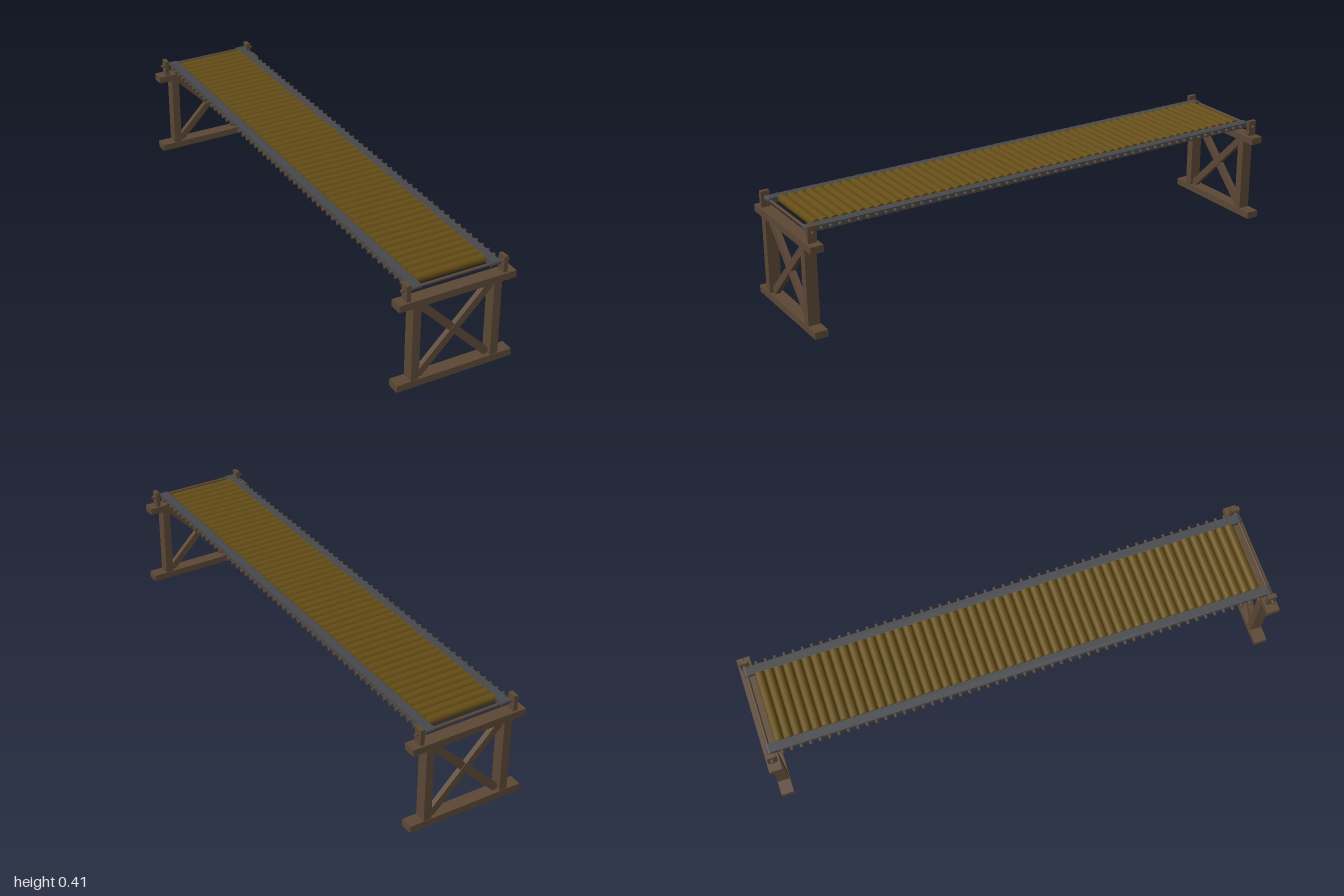
import * as THREE from 'three';

const wood = new THREE.MeshStandardMaterial({ color: 0x5b4735 });
const log = new THREE.MeshStandardMaterial({ color: 0x644c14 });
const belt = new THREE.MeshStandardMaterial({ color: 0x46484b });

function add(parent, name, geometry, material, x, y, z) {
  const mesh = new THREE.Mesh(geometry, material);
  mesh.name = name;
  mesh.position.set(x, y, z);
  parent.add(mesh);
  return mesh;
}

const box = (w, h, d) => new THREE.BoxGeometry(w, h, d);

// Cylinder lying along x
const rod = (r, length, sides) => new THREE.CylinderGeometry(r, r, length, sides).rotateZ(Math.PI / 2);

const DECK_Y = 0.387;
const END_Z = 0.975;

// End frame: sill, cap, legs, crossed braces, posts and the end axle
function createTrestle(name, z) {
  const g = new THREE.Group();
  g.name = name;
  g.position.z = z;
  add(g, 'sill', box(0.46, 0.027, 0.05), wood, 0, 0.0135, 0);
  add(g, 'cap', box(0.46, 0.027, 0.05), wood, 0, 0.335, 0);
  for (const s of [1, -1]) {
    add(g, 'leg', box(0.031, 0.296, 0.046), wood, s * 0.159, 0.174, 0);
    add(g, 'post', box(0.016, 0.064, 0.034), wood, s * 0.19, 0.378, 0);
    const brace = add(g, 'brace', box(0.4, 0.028, 0.02), wood, 0, 0.175, s * 0.001);
    brace.rotation.z = s * Math.atan2(0.29, 0.285);
  }
  add(g, 'endAxle', rod(0.006, 0.422, 10), wood, 0, DECK_Y, 0);
  return g;
}

// Strap with rounded ends that wraps both end axles
function createStrapGeometry() {
  const r = 0.0098, width = 0.035;
  const shape = new THREE.Shape();
  shape.moveTo(-END_Z, -r);
  shape.lineTo(END_Z, -r);
  shape.absarc(END_Z, 0, r, -Math.PI / 2, Math.PI / 2, false);
  shape.lineTo(-END_Z, r);
  shape.absarc(-END_Z, 0, r, Math.PI / 2, Math.PI * 1.5, false);
  return new THREE.ExtrudeGeometry(shape, { depth: width, bevelEnabled: false, curveSegments: 8 })
    .translate(0, 0, -width / 2)
    .rotateY(Math.PI / 2);
}

export function createModel() {
  const model = new THREE.Group();
  model.name = 'rollerBridge';

  model.add(createTrestle('frontTrestle', END_Z));
  model.add(createTrestle('backTrestle', -END_Z));

  // Deck of round logs, each on a thin pin that sticks out past the straps
  const deck = new THREE.Group();
  deck.name = 'deck';
  const count = 53, reach = 0.93;
  const logGeometry = rod(0.0175, 0.276, 12);
  const pinGeometry = rod(0.006, 0.372, 8);
  for (let i = 0; i < count; i++) {
    const z = -reach + (2 * reach * i) / (count - 1);
    add(deck, 'log', logGeometry, log, 0, DECK_Y, z);
    add(deck, 'pin', pinGeometry, wood, 0, DECK_Y, z);
  }
  model.add(deck);

  // Side straps
  const strap = createStrapGeometry();
  add(model, 'leftStrap', strap, belt, 0.155, DECK_Y, 0);
  add(model, 'rightStrap', strap, belt, -0.155, DECK_Y, 0);

  return model;
}
